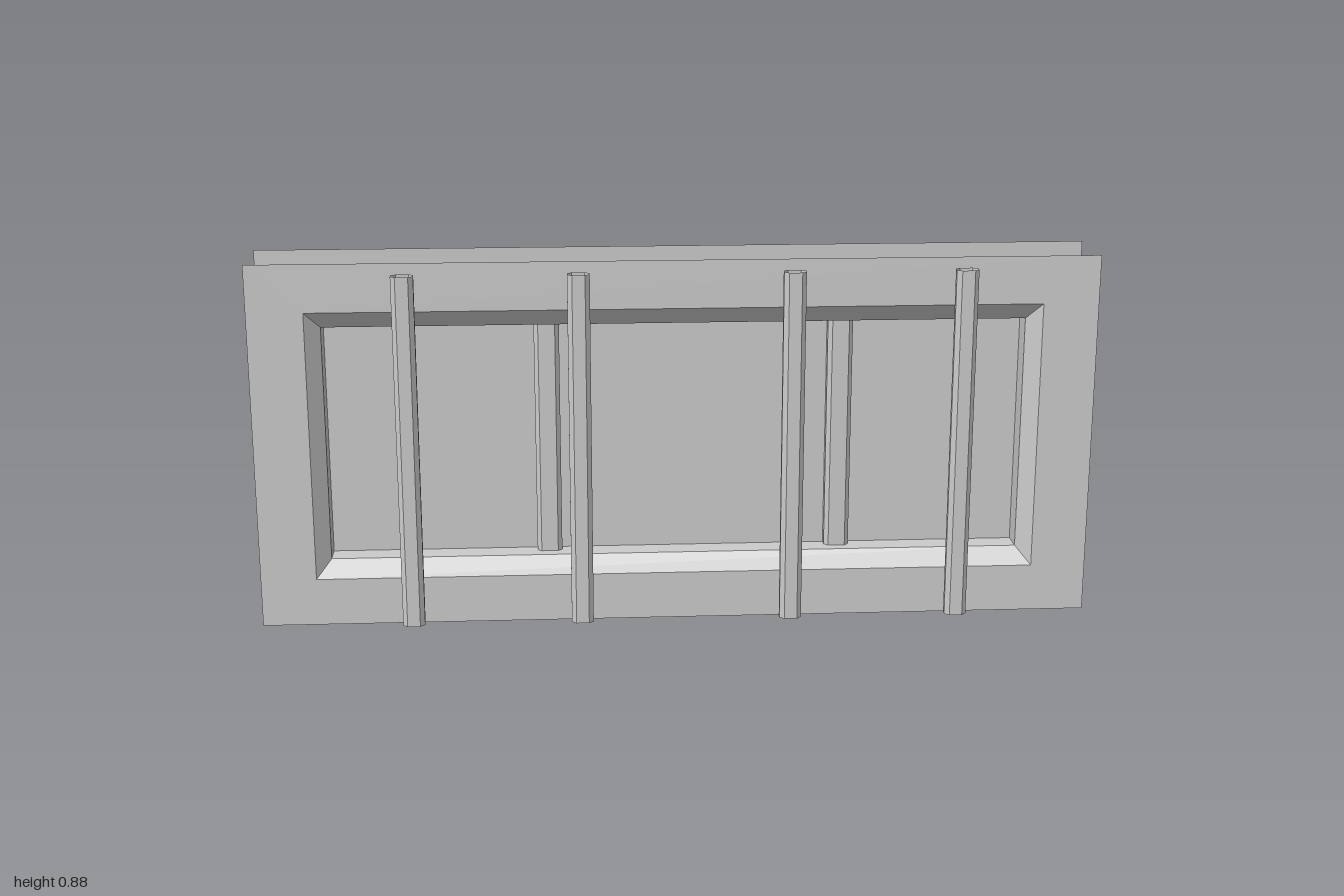
import * as THREE from 'three';

const HEIGHT = 0.883, MID = HEIGHT / 2;

const material = new THREE.MeshStandardMaterial({
  color: 0xcccccc, flatShading: true, side: THREE.DoubleSide,
});

function add(parent, name, geometry, x = 0, y = 0, z = 0) {
  const mesh = new THREE.Mesh(geometry, material);
  mesh.name = name;
  mesh.position.set(x, y, z);
  parent.add(mesh);
}

// Corners of a rectangle centred on the origin
function rect(w, h) {
  return [[-w, -h], [w, -h], [w, h], [-w, h]].map(([x, y]) => new THREE.Vector2(x / 2, y / 2));
}

// Thin wall sheet with the window opening cut out
function wallGeometry() {
  const shape = new THREE.Shape(rect(2, HEIGHT));
  shape.holes.push(new THREE.Path(rect(1.735, 0.653)));
  return new THREE.ShapeGeometry(shape);
}

// Rectangular tunnel lofted through [width, height, z] sections
function revealGeometry(sections) {
  const rings = sections.map(([w, h, z]) => rect(w, h).map((p) => [p.x, p.y, z]));
  const positions = [];
  for (let s = 0; s < rings.length - 1; s++) {
    for (let i = 0; i < 4; i++) {
      const j = (i + 1) % 4;
      const a = rings[s][i], b = rings[s][j], c = rings[s + 1][j], d = rings[s + 1][i];
      positions.push(...a, ...b, ...c, ...a, ...c, ...d);
    }
  }
  const geometry = new THREE.BufferGeometry();
  geometry.setAttribute('position', new THREE.Float32BufferAttribute(positions, 3));
  geometry.computeVertexNormals();
  return geometry;
}

// Open-ended upright tube with chamfered corners
function tubeGeometry(width, depth, height, chamfer) {
  const geometry = new THREE.CylinderGeometry(1, 1, height, 8, 1, true, Math.PI / 8);
  const position = geometry.attributes.position;
  const fit = (v, half) => Math.sign(v) * (Math.abs(v) > 0.6 ? half : half - chamfer);
  for (let i = 0; i < position.count; i++) {
    position.setX(i, fit(position.getX(i), width / 2));
    position.setZ(i, fit(position.getZ(i), depth / 2));
  }
  geometry.computeVertexNormals();
  return geometry;
}

export function createModel() {
  const group = new THREE.Group();
  group.name = 'barredWindow';

  // Wall faces
  const wall = wallGeometry();
  add(group, 'frontWall', wall, 0, MID, 0.046);
  add(group, 'backWall', wall.clone().rotateY(Math.PI), 0, MID, -0.138);

  // Splayed reveal through the wall
  add(group, 'windowReveal', revealGeometry([
    [1.735, 0.653, 0.046],
    [1.665, 0.571, 0.014],
    [1.665, 0.571, -0.102],
    [1.735, 0.653, -0.138],
  ]), 0, MID);

  // Pane and the two mullions around it
  add(group, 'windowPane', new THREE.PlaneGeometry(1.665, 0.571), 0, MID, -0.044);
  const mullion = tubeGeometry(0.06, 0.06, 0.584, 0.01);
  for (const x of [-0.307, 0.395]) add(group, 'mullion', mullion, x, MID, -0.044);

  // Bars standing in front
  const bar = tubeGeometry(0.052, 0.035, 0.844, 0.011);
  for (const x of [-0.632, -0.231, 0.267, 0.667]) add(group, 'securityBar', bar, x, 0.446, 0.1205);

  return group;
}
